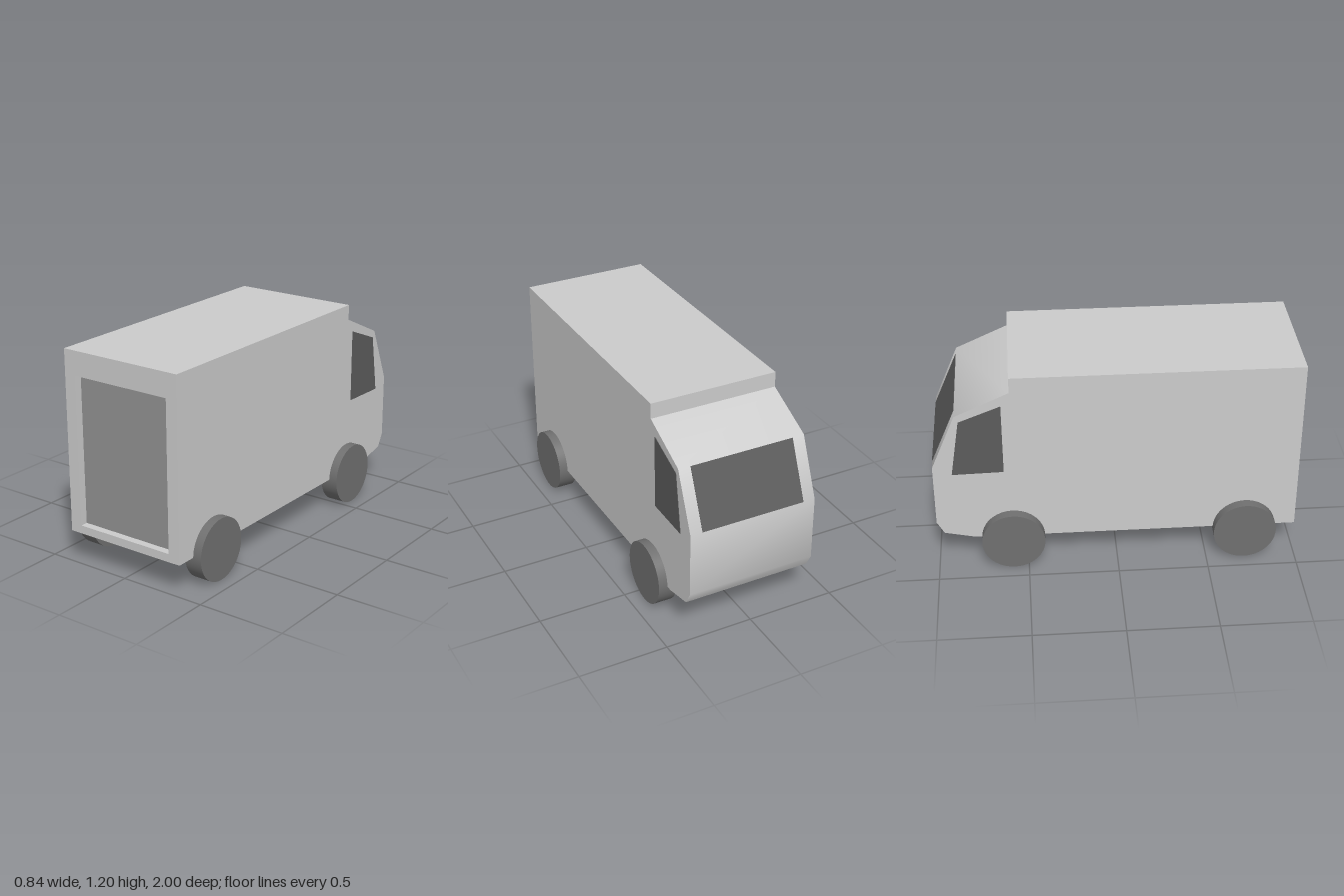
import * as THREE from 'three';
import { toCreasedNormals } from 'three/addons/utils/BufferGeometryUtils.js';

const HALF = 0.366;   // half body width
const CX = 0.003;     // body centre line
const REAR = 1;       // cargo end at +z
const RECESS = 0.045; // depth of the cargo door recess

const material = (color) => new THREE.MeshStandardMaterial({ color });

function addMesh(parent, name, geometry, mat) {
  const mesh = new THREE.Mesh(geometry, mat);
  mesh.name = name;
  parent.add(mesh);
  return mesh;
}

// Extrudes a side profile of [z, y] points across x, centred on x = 0
function extrudeSide(points, width) {
  const shape = new THREE.Shape(points.map(([z, y]) => new THREE.Vector2(-z, y)));
  const geometry = new THREE.ExtrudeGeometry(shape, { depth: width, bevelEnabled: false });
  return geometry.translate(0, 0, -width / 2).rotateY(Math.PI / 2);
}

function rectangle(Type, x0, y0, x1, y1) {
  return new Type([[x0, y0], [x1, y0], [x1, y1], [x0, y1]].map(([x, y]) => new THREE.Vector2(x, y)));
}

export function createModel() {
  const van = new THREE.Group();
  van.name = 'van';
  const bodyMat = material(0xcccccc);
  const glassMat = material(0x5c5c5c);
  const doorMat = material(0x929292);
  const tyreMat = material(0x707070);

  // Cargo box and sloping cab as one side profile
  const profile = [
    [REAR - RECESS, 0.18], [-0.79, 0.18], [-0.96, 0.217], [-1, 0.29], [-1, 0.655],
    [-0.865, 0.975], [-0.57, 1.11], [-0.57, 1.197], [REAR - RECESS, 1.197],
  ];
  const body = addMesh(van, 'body', toCreasedNormals(extrudeSide(profile, HALF * 2), 0.8), bodyMat);
  body.position.x = CX;

  // Frame around the recessed cargo door
  const frameShape = rectangle(THREE.Shape, -HALF, 0.18, HALF, 1.197);
  frameShape.holes.push(rectangle(THREE.Path, -0.297, 0.226, 0.297, 1.062));
  const frameGeometry = new THREE.ExtrudeGeometry(frameShape, { depth: RECESS, bevelEnabled: false });
  const frame = addMesh(van, 'doorFrame', frameGeometry, bodyMat);
  frame.position.set(CX, 0, REAR - RECESS);

  // Cargo door at the bottom of the recess
  const door = addMesh(van, 'cargoDoor', new THREE.BoxGeometry(0.594, 0.836, 0.006), doorMat);
  door.position.set(CX, 0.644, REAR - RECESS);

  // Windscreen lying on the cab slope
  const windscreen = addMesh(van, 'windscreen', new THREE.BoxGeometry(0.594, 0.343, 0.005), glassMat);
  windscreen.position.set(CX, 0.815, -0.9325);
  windscreen.rotation.x = Math.atan2(0.135, 0.32);

  // Side windows and wheels, mirrored left and right
  const windowGeometry = extrudeSide([[-0.617, 0.613], [-0.897, 0.607], [-0.845, 0.94], [-0.617, 1.03]], 0.005);
  const wheelGeometry = new THREE.CylinderGeometry(0.175, 0.175, 0.103, 48).rotateZ(Math.PI / 2);
  for (const [side, s] of [['left', 1], ['right', -1]]) {
    addMesh(van, `${side}Window`, windowGeometry, glassMat).position.x = CX + s * HALF;
    for (const [end, z] of [['Cab', -0.58], ['Cargo', 0.712]]) {
      addMesh(van, `${side}${end}Wheel`, wheelGeometry, tyreMat).position.set(s * 0.3675, 0.175, z);
    }
  }
  return van;
}
